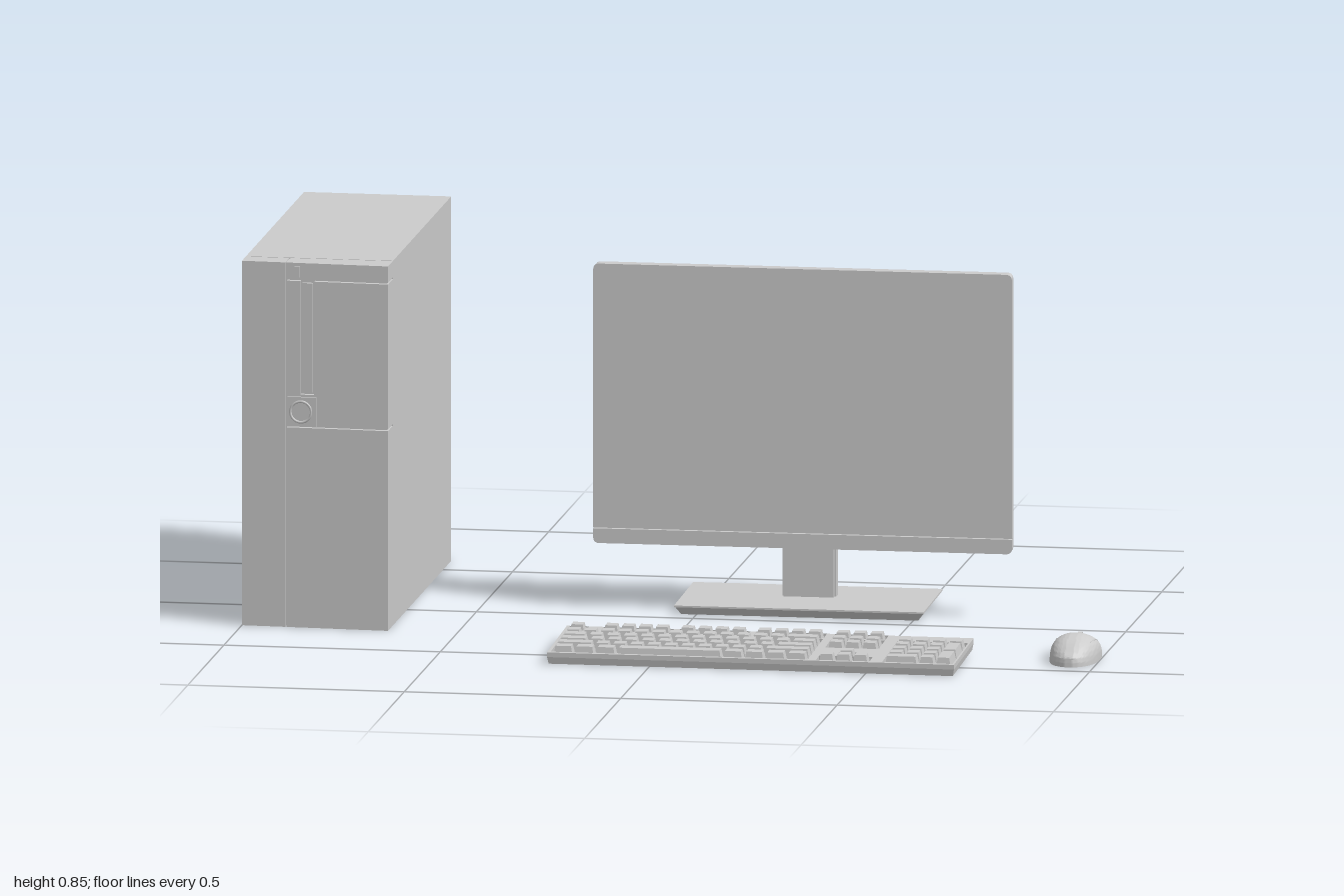
import * as THREE from 'three';
import { toCreasedNormals } from 'three/addons/utils/BufferGeometryUtils.js';

const grey = new THREE.MeshStandardMaterial({ color: 0xcccccc, roughness: 0.7 });

function add(parent, name, geometry) {
  const mesh = new THREE.Mesh(geometry, grey);
  mesh.name = name;
  parent.add(mesh);
  return mesh;
}

// Box given by its extents on each axis
function box(parent, name, x0, x1, y0, y1, z0, z1) {
  const g = new THREE.BoxGeometry(x1 - x0, y1 - y0, z1 - z0);
  g.translate((x0 + x1) / 2, (y0 + y1) / 2, (z0 + z1) / 2);
  return add(parent, name, g);
}

// Box whose top and bottom are inset by different amounts
function taperedBox(w, h, d, insetTop, insetBottom) {
  const g = new THREE.BoxGeometry(w, h, d);
  const p = g.attributes.position;
  for (let i = 0; i < p.count; i++) {
    const inset = p.getY(i) > 0 ? insetTop : insetBottom;
    p.setX(i, p.getX(i) - Math.sign(p.getX(i)) * inset);
    p.setZ(i, p.getZ(i) - Math.sign(p.getZ(i)) * inset);
  }
  g.computeVertexNormals();
  return g;
}

function outline(points, PathType = THREE.Shape) {
  return new PathType(points.map(([x, y]) => new THREE.Vector2(x, y)));
}
const rect = (x0, x1, y0, y1) => [[x0, y0], [x1, y0], [x1, y1], [x0, y1]];

// Flat plate with rectangular holes, extruded along z
function plate(outer, holes, depth) {
  const s = outline(outer);
  holes.forEach(h => s.holes.push(outline(h, THREE.Path)));
  return new THREE.ExtrudeGeometry(s, { depth, bevelEnabled: false });
}

function createTower() {
  const g = new THREE.Group();
  g.name = 'tower';
  box(g, 'case', -0.985, -0.66, 0, 0.845, -0.597, 0.194);
  // Side panel with recessed latch
  const side = plate(rect(-0.194, 0.597, 0, 0.845), [rect(0.22, 0.32, 0.61, 0.715)], 0.015);
  side.rotateY(Math.PI / 2);
  side.translate(-1, 0, 0);
  add(g, 'sidePanel', side);
  box(g, 'sideLatch', -0.998, -0.985, 0.635, 0.69, -0.285, -0.24);
  // Rear rim with small slots under its top edge
  const slots = [0, 1, 2, 3].map(i => rect(-0.96 + i * 0.075, -0.92 + i * 0.075, 0.832, 0.839));
  const rim = plate(rect(-1, -0.66, 0, 0.845), [rect(-0.988, -0.672, 0.015, 0.825), ...slots], 0.014);
  rim.translate(0, 0, -0.611);
  add(g, 'rearRim', rim);
  box(g, 'rearTab', -0.69, -0.672, 0.43, 0.46, -0.606, -0.597);
  // Front panels: the face slants slightly across the width
  const face = x => 0.25 + (x + 1) * 0.045;
  const panel = (name, x0, x1, y0, y1, out = 0) => {
    const foot = [[x0, -0.198], [x1, -0.198], [x1, -face(x1) - out], [x0, -face(x0) - out]];
    const geo = plate(foot.reverse(), [], y1 - y0);
    geo.rotateX(-Math.PI / 2);
    geo.translate(0, y0, 0);
    add(g, name, geo);
  };
  panel('frontCore', -0.997, -0.664, 0.002, 0.843, -0.012);
  panel('frontStrip', -1, -0.899, 0, 0.845);
  panel('frontLower', -0.896, -0.66, 0, 0.463);
  panel('frontBand', -0.896, -0.66, 0.467, 0.54);
  panel('driveSideLeft', -0.896, -0.864, 0.54, 0.803);
  panel('driveSideRight', -0.832, -0.66, 0.54, 0.803);
  panel('driveDoor', -0.86, -0.836, 0.545, 0.798, -0.004);
  panel('frontTop', -0.896, -0.66, 0.807, 0.845);
  panel('indicator', -0.88, -0.865, 0.812, 0.838, 0.005);
  panel('buttonHousing', -0.894, -0.826, 0.467, 0.535, 0.006);
  const ring = add(g, 'powerButton', new THREE.TorusGeometry(0.024, 0.003, 8, 32));
  ring.position.set(-0.862, 0.501, 0.2625);
  return g;
}

function roundedPanel(w, y0, y1, rBottom, rTop, depth) {
  const s = new THREE.Shape(), h = w / 2;
  s.moveTo(-h + rBottom, y0).lineTo(h - rBottom, y0).quadraticCurveTo(h, y0, h, y0 + rBottom);
  s.lineTo(h, y1 - rTop).quadraticCurveTo(h, y1, h - rTop, y1);
  s.lineTo(-h + rTop, y1).quadraticCurveTo(-h, y1, -h, y1 - rTop);
  s.lineTo(-h, y0 + rBottom).quadraticCurveTo(-h, y0, -h + rBottom, y0);
  return new THREE.ExtrudeGeometry(s, { depth, bevelEnabled: false, curveSegments: 6 });
}

function createMonitor() {
  const g = new THREE.Group();
  g.name = 'monitor';
  // Display with a separate chin and a back shell
  add(g, 'screen', roundedPanel(0.965, 0.187, 0.799, 0.001, 0.014, 0.012));
  add(g, 'chin', roundedPanel(0.965, 0.151, 0.185, 0.014, 0.001, 0.012));
  add(g, 'backShell', roundedPanel(0.963, 0.151, 0.799, 0.014, 0.014, 0.017)).position.z = -0.017;
  // Stepped mount
  box(g, 'mountPlate', -0.24, 0.24, 0.355, 0.595, -0.03, -0.017);
  box(g, 'mountInner', -0.105, 0.105, 0.42, 0.53, -0.038, -0.03);
  // Arm, column and foot
  box(g, 'arm', -0.055, 0.055, 0.462, 0.484, -0.08, -0.038);
  box(g, 'armCap', -0.062, 0.062, 0.484, 0.49, -0.116, -0.038);
  box(g, 'columnFront', -0.058, 0.058, 0.02, 0.484, -0.092, -0.08);
  box(g, 'columnBack', -0.062, 0.062, 0.02, 0.484, -0.116, -0.092);
  add(g, 'baseSkirt', taperedBox(0.57, 0.018, 0.29, 0, 0.012)).position.set(0, 0.009, -0.077);
  box(g, 'baseTop', -0.2875, 0.2875, 0.018, 0.022, -0.224, 0.07);
  g.position.set(0.237, 0, -0.11);
  g.rotation.y = 0.016;
  return g;
}

function createKeyboard() {
  const g = new THREE.Group();
  g.name = 'keyboard';
  const U = 0.0392, cx = 0.235, cz = 0.4725;
  const rows = [0.41, 0.4525, 0.495, 0.5365, 0.579].map(z => z - cz);
  const left = -0.225 - cx, nav = 0.388 - cx, num = 0.541 - cx, topRow = 0.357 - cz;
  add(g, 'tray', taperedBox(0.94, 0.016, 0.275, 0, 0.003)).position.y = 0.008;
  // Top frame with a well for each block of keys
  const well = (x, units, z0, z1) => rect(x - 0.003, x + units * U + 0.003, -z1, -z0);
  const blocks = [well(left, 1, topRow - 0.022, topRow + 0.022)];
  [2, 6.5, 11].forEach(u => blocks.push(well(left + u * U, 4, topRow - 0.022, topRow + 0.022)));
  blocks.push(well(left, 15, rows[0] - 0.022, rows[4] + 0.022));
  blocks.push(well(nav, 3, topRow - 0.022, topRow + 0.022));
  blocks.push(well(nav, 3, rows[0] - 0.022, rows[1] + 0.022));
  blocks.push(well(nav + U, 1, rows[3] - 0.022, rows[3] + 0.0195));
  blocks.push(well(nav, 3, rows[4] - 0.022, rows[4] + 0.022));
  blocks.push(well(num, 4, rows[0] - 0.022, rows[4] + 0.022));
  const frame = plate(rect(-0.47, 0.47, -0.1375, 0.1375), blocks, 0.011);
  frame.rotateX(-Math.PI / 2);
  frame.translate(0, 0.016, 0);
  add(g, 'frame', frame);
  // Keys
  const key = (x, units, z, deep = 0.034) => {
    add(g, 'key', taperedBox(units * U - 0.005, 0.022, deep, 0.004, 0))
      .position.set(x + units * U / 2, 0.028, z);
  };
  const keyRow = (x, z, widths) => widths.forEach(w => { key(x, w, z); x += w * U; });
  const ones = n => Array(n).fill(1);
  key(left, 1, topRow);
  [2, 6.5, 11].forEach(u => keyRow(left + u * U, topRow, ones(4)));
  [
    [...ones(13), 2],
    [1.5, ...ones(12), 1.5],
    [1.75, ...ones(11), 2.25],
    [2.25, ...ones(10), 2.75],
    [1.25, 1.25, 1.25, 6.25, 1.25, 1.25, 1.25, 1.25],
  ].forEach((widths, i) => keyRow(left, rows[i], widths));
  [topRow, rows[0], rows[1], rows[4]].forEach(z => keyRow(nav, z, ones(3)));
  key(nav + U, 1, rows[3]);
  [[1, 1, 1, 1], [1, 1, 1], [1, 1, 1], [1, 1, 1], [2, 1]].forEach((w, i) => keyRow(num, rows[i], w));
  [[1, 2], [3, 4]].forEach(([a, b]) => key(num + 3 * U, 1, (rows[a] + rows[b]) / 2, 0.077));
  // Feet under the rear corners
  [-1, 1].forEach(s => box(g, 'foot', s * 0.4 - 0.03, s * 0.4 + 0.03, -0.005, 0, -0.125, -0.11));
  g.position.set(cx, 0.006, cz);
  g.rotation.x = 0.04;
  return g;
}

function createMouse() {
  const g = new THREE.Group();
  g.name = 'mouse';
  const M = 32, N = 48, pos = [], idx = [];
  const profile = new THREE.SplineCurve([0.02, 0.043, 0.057, 0.063, 0.053, 0.024]
    .map((h, i) => new THREE.Vector2(i / 5, h)));
  const width = u => 0.056 * Math.sqrt(Math.max(0, 1 - Math.abs(2 * u - 1) ** 2.6));
  // Cross-sections from nose to tail, with a notch between the buttons
  for (let i = 0; i <= M; i++) {
    const u = (1 - Math.cos(Math.PI * i / M)) / 2, h = profile.getPoint(u).y;
    for (let j = 0; j <= N; j++) {
      const t = Math.PI * j / N, x = width(u) * Math.cos(t);
      const notch = 0.028 * (1 - u) ** 6 * Math.exp(-((x / 0.008) ** 2));
      pos.push(x, h * Math.max(0, Math.sin(t)) ** 0.65, 0.24 + 0.215 * u + notch);
      if (i === M) continue;
      const a = i * (N + 1) + j, b = i * (N + 1) + (j + 1) % (N + 1);
      idx.push(a, b, a + N + 1, b, b + N + 1, a + N + 1);
    }
  }
  const body = new THREE.BufferGeometry();
  body.setAttribute('position', new THREE.Float32BufferAttribute(pos, 3));
  body.setIndex(idx);
  add(g, 'body', toCreasedNormals(body, 0.9));
  // Scroll wheel
  const wheel = new THREE.CylinderGeometry(0.014, 0.014, 0.009, 24);
  wheel.rotateZ(Math.PI / 2);
  add(g, 'scrollWheel', wheel).position.set(0, 0.038, 0.287);
  // Side trim lines
  [-1, 1].forEach(s => {
    const path = new THREE.CatmullRomCurve3([[0.27, 0.028], [0.31, 0.038], [0.35, 0.046], [0.39, 0.047]].map(([z, y]) => {
      const u = (z - 0.24) / 0.215, h = profile.getPoint(u).y;
      const sine = Math.min(1, y / h) ** (1 / 0.65);
      return new THREE.Vector3(s * width(u) * Math.sqrt(1 - sine * sine), y, z);
    }));
    add(g, 'sideTrim', new THREE.TubeGeometry(path, 16, 0.0012, 6));
  });
  g.position.x = 0.943;
  return g;
}

export function createModel() {
  const model = new THREE.Group();
  model.name = 'desktopComputer';
  model.add(createTower(), createMonitor(), createKeyboard(), createMouse());
  return model;
}
